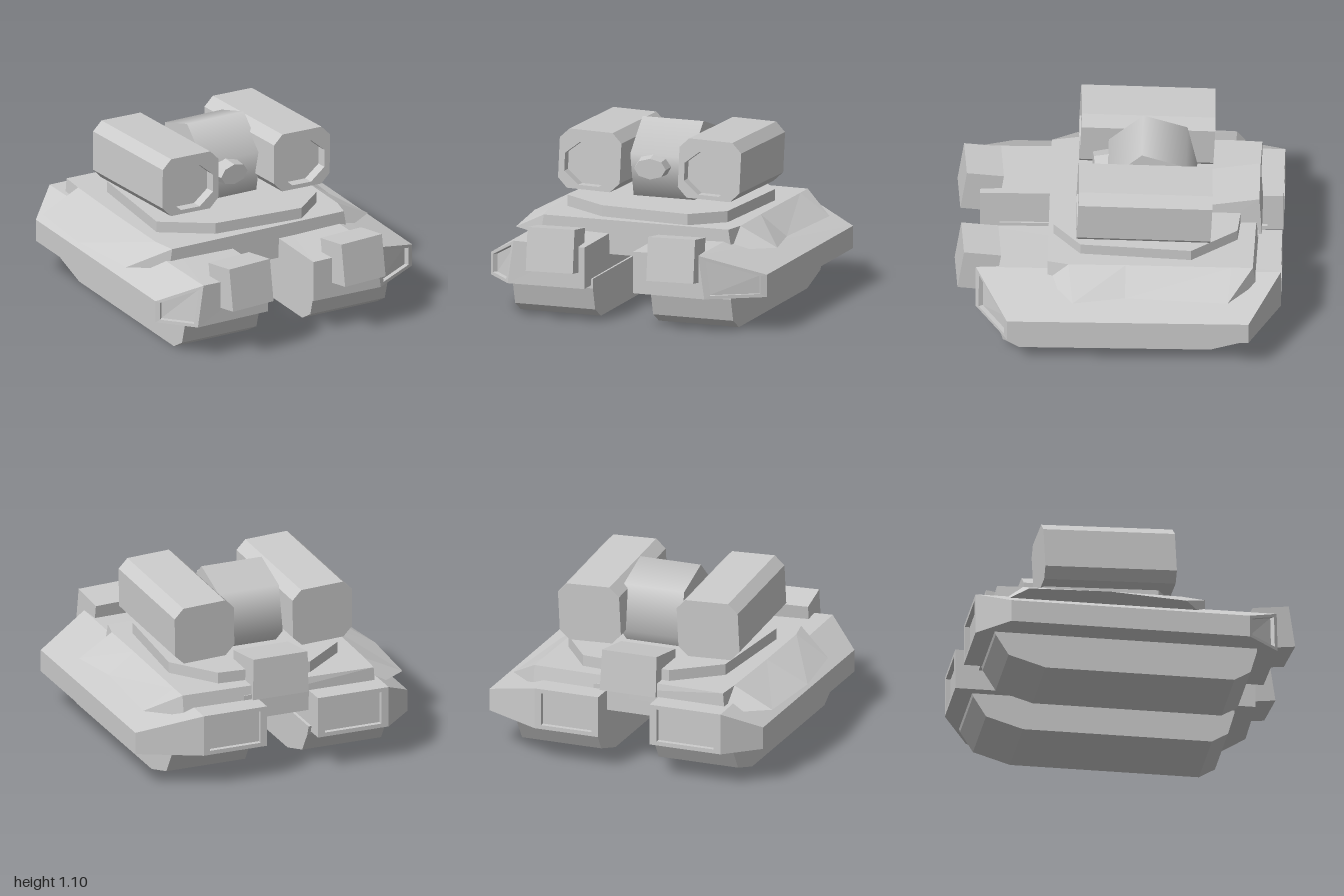
import * as THREE from 'three';
import { mergeVertices } from 'three/addons/utils/BufferGeometryUtils.js';

const flat = new THREE.MeshStandardMaterial({ color: 0xcccccc, flatShading: true });
const smooth = new THREE.MeshStandardMaterial({ color: 0xcccccc });

function add(parent, name, geometry, material = flat) {
  const mesh = new THREE.Mesh(geometry, material);
  mesh.name = name;
  parent.add(mesh);
  return mesh;
}

// Solid between two rings of [x, y, z] points, counter-clockwise from above.
// Sides listed in "recessed" get a sunken panel; "cap" triangulates the ends.
function loft(bottom, top, recessed = [], cap = null) {
  const pos = [];
  const V = p => new THREE.Vector3(...p);
  const poly = pts => {
    for (let i = 1; i < pts.length - 1; i++)
      for (const p of [pts[0], pts[i], pts[i + 1]]) pos.push(p.x, p.y, p.z);
  };
  const b = bottom.map(V), t = top.map(V), n = b.length;
  for (let i = 0; i < n; i++) {
    const j = (i + 1) % n;
    const quad = [b[i], b[j], t[j], t[i]];
    if (!recessed.includes(i)) { poly(quad); continue; }
    const mid = new THREE.Vector3();
    quad.forEach(p => mid.addScaledVector(p, 0.25));
    const normal = b[j].clone().sub(b[i]).cross(t[i].clone().sub(b[i])).normalize();
    const inner = quad.map(p => p.clone().lerp(mid, 0.2));
    const deep = inner.map(p => p.clone().addScaledVector(normal, -0.03));
    for (let k = 0; k < 4; k++) {
      const m = (k + 1) % 4;
      poly([quad[k], quad[m], inner[m], inner[k]]);
      poly([inner[k], inner[m], deep[m], deep[k]]);
    }
    poly(deep);
  }
  if (cap) cap.forEach(f => {
    poly(f.map(i => t[i]));
    poly(f.map(i => b[i]).reverse());
  });
  else { poly(t); poly([...b].reverse()); }
  const g = new THREE.BufferGeometry();
  g.setAttribute('position', new THREE.Float32BufferAttribute(pos, 3));
  g.computeVertexNormals();
  return g;
}

// Hull pod beside the gap: low outer edge, sloped shoulder, chamfered ends
function pod(side, inner, frontX, outer, rearX) {
  const plan = [[inner, 0.86], [frontX, 0.87], [outer, 0.67],
    [outer, -0.81], [rearX, -1], [inner + 0.01, -1]];
  const heights = [0.48, 0.49, 0.36, 0.36, 0.48, 0.48];
  const low = plan.map(([x, z]) => [side * x, 0.22, z]);
  const high = plan.map(([x, z], i) => [side * (x - (i === 1 ? 0.04 : 0)), heights[i], z]);
  if (side < 0) { low.reverse(); high.reverse(); }
  return loft(low, high, side > 0 ? [1, 4] : [3, 0],
    [[0, 1, 4], [0, 4, 5], [1, 2, 3], [1, 3, 4]]);
}

const at = (plan, y) => plan.map(([x, z]) => [x, y, z]);
const shapeOf = pts => new THREE.Shape(pts.map(p => new THREE.Vector2(...p)));
const extrude = (shape, depth) => new THREE.ExtrudeGeometry(shape, { depth, bevelEnabled: false });

export function createModel() {
  const model = new THREE.Group();
  model.name = 'missileTank';

  // Tracks
  const trackProfile = shapeOf([[0.6, 0], [0.7, 0.06], [0.74, 0.2], [0.74, 0.26],
    [-0.9, 0.26], [-0.88, 0.2], [-0.8, 0.07], [-0.57, 0]].reverse());
  for (const [name, x] of [['leftTrack', 0.715], ['rightTrack', -0.19]]) {
    const g = extrude(trackProfile, 0.525);
    g.rotateY(-Math.PI / 2);
    add(model, name, g).position.x = x;
  }

  // Hull pods
  add(model, 'leftPod', pod(1, 0.12, 0.59, 0.925, 0.55));
  add(model, 'rightPod', pod(-1, 0.2, 0.7, 0.885, 0.68));

  // Upper hull with overhanging side wings
  const wing = [[-0.65, 0.43], [0.6, 0.43], [0.84, 0.27], [0.78, -0.05],
    [0.82, -0.68], [0.62, -0.85], [-0.65, -0.86], [-0.9, -0.7], [-0.93, -0.2], [-0.87, 0.28]];
  const roof = [[-0.63, 0.43], [0.58, 0.43], [0.61, 0.3], [0.61, -0.05],
    [0.62, -0.7], [0.62, -0.83], [-0.64, -0.86], [-0.65, -0.7], [-0.66, -0.2], [-0.66, 0.28]];
  add(model, 'upperHull', loft(at(wing, 0.44), at(roof, 0.565)));
  const belly = add(model, 'belly', new THREE.BoxGeometry(0.5, 0.16, 1.28));
  belly.position.set(-0.03, 0.43, -0.215);

  // Turret base plate
  const plate = [[-0.28, 0.35], [0.3, 0.4], [0.5, 0.23], [0.55, -0.45], [0.34, -0.73],
    [-0.25, -0.78], [-0.53, -0.55], [-0.58, 0.15]];
  add(model, 'turretPlate', loft(at(plate, 0.55), at(plate, 0.635)));

  // Neck and rear engine box
  const box = (x0, x1, z0, z1) => [[x0, z1], [x1, z1], [x1, z0], [x0, z0]];
  add(model, 'turretNeck', loft(at(box(-0.21, 0.18, -0.34, 0), 0.62),
    at(box(-0.16, 0.14, -0.32, -0.04), 0.78)));
  const engineTop = box(-0.2, 0.16, -0.86, -0.55).map(([x, z]) => [x, z < -0.7 ? 0.74 : 0.69, z]);
  add(model, 'engineBox', loft(at(box(-0.2, 0.17, -0.875, -0.55), 0.48), engineTop));

  // Turret drum: six-sided but softly shaded, with flat ends
  const drum = new THREE.Group();
  drum.name = 'turretDrum';
  const barrel = new THREE.CylinderGeometry(0.285, 0.285, 0.4, 6, 1, true);
  add(drum, 'drumShell', mergeVertices(barrel), smooth);
  for (const s of [-1, 1]) {
    const end = add(drum, 'drumEnd', new THREE.CircleGeometry(0.285, 6, Math.PI / 2));
    end.rotation.x = -s * Math.PI / 2;
    end.position.y = s * 0.2;
  }
  drum.rotation.set(0, 0, Math.PI / 2);
  const drumPivot = new THREE.Group();
  drumPivot.name = 'drumPivot';
  drumPivot.add(drum);
  // turn one corner of the hexagon to the top, leaning slightly forward
  drumPivot.rotation.x = Math.PI / 6 + 0.21 - Math.PI / 3;
  drumPivot.position.set(0, 0.82, -0.2);
  model.add(drumPivot);
  barrel.rotateY(0);

  // Sensor nose
  const nose = new THREE.CylinderGeometry(0.1, 0.13, 0.22, 8);
  nose.rotateX(Math.PI / 2).scale(1, 0.65, 1);
  const sensor = add(model, 'sensorNose', nose);
  sensor.position.set(-0.05, 0.84, 0.05);
  sensor.rotation.y = 0.12;

  // Missile launchers with a sunken eight-sided mouth
  const w = 0.2, h = 0.185, c = 0.06;
  const section = [[-w + c, -h], [w - c, -h], [w, -h + c], [w, h - c],
    [w - c, h], [-w + c, h], [-w, h - c], [-w, -h + c]];
  for (const [name, x] of [['leftLauncher', 0.375], ['rightLauncher', -0.41]]) {
    const launcher = new THREE.Group();
    launcher.name = name;
    const rim = shapeOf(section);
    const mouth = new THREE.Path();
    for (let i = 0; i < 8; i++) {
      const a = -(i + 0.5) * Math.PI / 4;
      mouth[i ? 'lineTo' : 'moveTo'](0.175 * Math.cos(a), -0.025 + 0.145 * Math.sin(a));
    }
    mouth.closePath();
    rim.holes.push(mouth);
    add(launcher, 'launcherMouth', extrude(rim, 0.07)).position.z = 0.34;
    add(launcher, 'launcherBody', extrude(shapeOf(section), 0.75)).position.z = -0.41;
    launcher.position.set(x, 0.867, -0.16);
    launcher.rotation.set(-0.045, 0.03, -0.03);
    model.add(launcher);
  }

  // Front boxes on the pods
  for (const [name, x] of [['leftFrontBox', 0.4], ['rightFrontBox', -0.39]]) {
    const b = add(model, name, new THREE.BoxGeometry(0.3, 0.27, 0.23));
    b.position.set(x, 0.455, 0.86);
    b.rotation.set(-0.15, 0.08, 0);
    b.rotation.order = 'YXZ';
  }
  return model;
}
